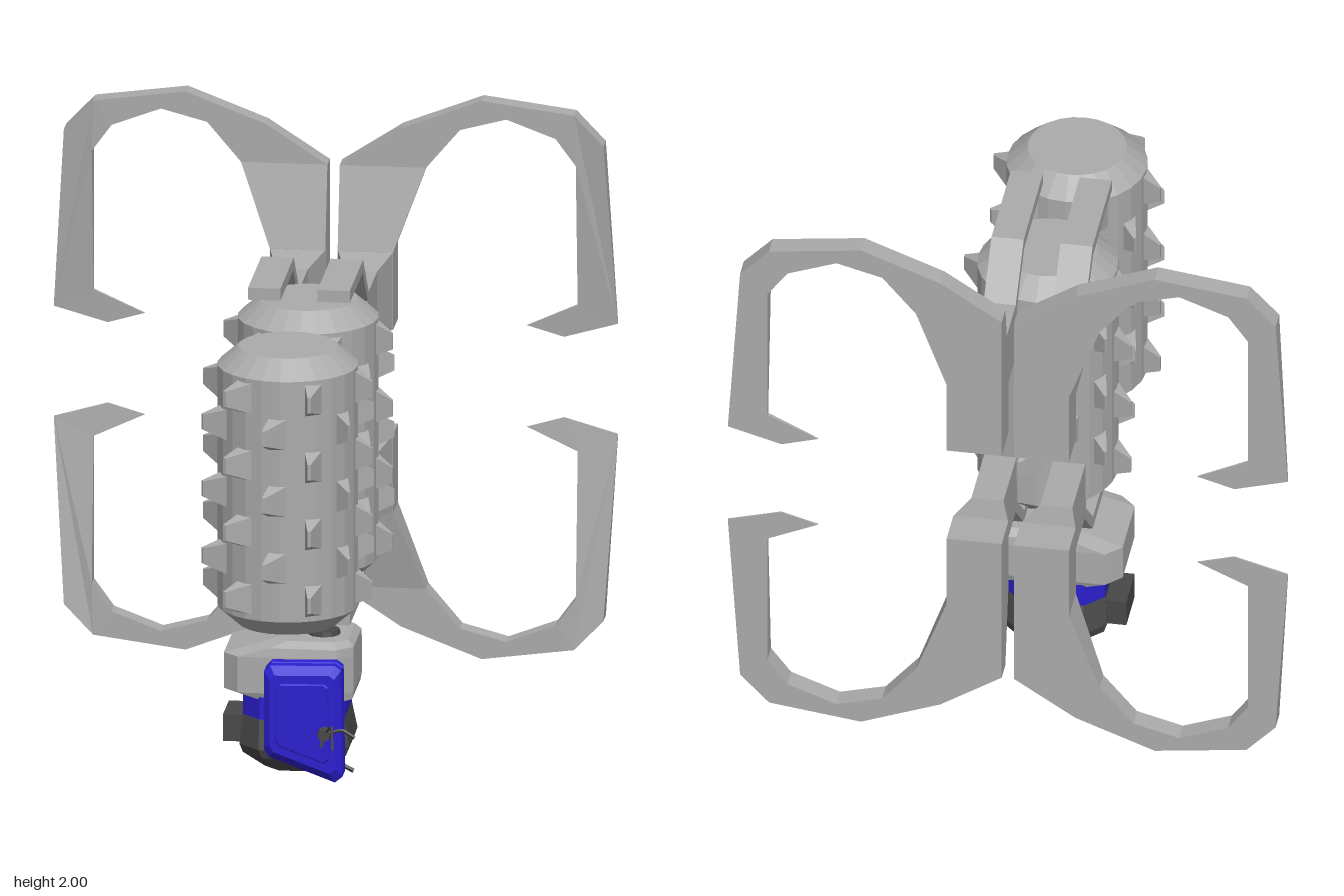
import * as THREE from 'three';
import { mergeGeometries } from 'three/addons/utils/BufferGeometryUtils.js';

const mat = (name, color) => Object.assign(new THREE.MeshStandardMaterial({ color, flatShading: true }), { name });

// make the faces of a closed, non-indexed solid point outwards
function orient(g) {
  const p = g.attributes.position, a = new THREE.Vector3(), b = a.clone(), c = a.clone();
  let vol = 0;
  for (let i = 0; i < p.count; i += 3) {
    a.fromBufferAttribute(p, i); b.fromBufferAttribute(p, i + 1); c.fromBufferAttribute(p, i + 2);
    vol += a.dot(b.cross(c));
  }
  if (vol < 0) {
    for (let i = 0; i < p.count; i += 3) {
      b.fromBufferAttribute(p, i + 1); c.fromBufferAttribute(p, i + 2);
      p.setXYZ(i + 1, c.x, c.y, c.z); p.setXYZ(i + 2, b.x, b.y, b.z);
    }
  }
  g.deleteAttribute('uv');
  g.computeVertexNormals();
  return g;
}

// solid through rings of equal point count, closed at both ends
function loft(rings) {
  const out = [], n = rings[0].length, last = rings.length - 1;
  const tri = (...pts) => pts.forEach(q => out.push(...q));
  for (let r = 0; r < last; r++) {
    for (let i = 0; i < n; i++) {
      const j = (i + 1) % n, A = rings[r], B = rings[r + 1];
      tri(A[i], A[j], B[j]); tri(A[i], B[j], B[i]);
    }
  }
  for (let i = 1; i < n - 1; i++) {
    tri(rings[0][0], rings[0][i + 1], rings[0][i]);
    tri(rings[last][0], rings[last][i], rings[last][i + 1]);
  }
  const g = new THREE.BufferGeometry();
  g.setAttribute('position', new THREE.Float32BufferAttribute(out, 3));
  return orient(g);
}

const extrude = (pts, depth) => new THREE.ExtrudeGeometry(
  new THREE.Shape(pts.map(q => new THREE.Vector2(...q))), { depth, bevelEnabled: false });

// chamfered rectangle in plan at height y
const octagon = (y, x0, x1, z0, z1, c) => [
  [x0 + c, y, z0], [x1 - c, y, z0], [x1, y, z0 + c], [x1, y, z1 - c],
  [x1 - c, y, z1], [x0 + c, y, z1], [x0, y, z1 - c], [x0, y, z0 + c]];
const rectY = (y, x0, x1, z0, z1) => [[x0, y, z0], [x1, y, z0], [x1, y, z1], [x0, y, z1]];
const rectZ = (z, x0, x1, y0, y1) => [[x0, y0, z], [x1, y0, z], [x1, y1, z], [x0, y1, z]];

// upper left gripper: claw, wedge, flared mount and bent fork
function gripperGeometry() {
  const claw = extrude([
    [0.02, 1.24], [0.2, 1.24], [0.2, 1.5], [0.3, 1.77], [0.41, 1.9], [0.56, 1.94], [0.72, 1.88], [0.785, 1.79],
    [0.785, 1.31], [0.62, 1.235], [0.74, 1.2], [0.915, 1.25], [0.875, 1.86], [0.78, 1.96],
    [0.48, 2.0], [0.22, 1.9], [0.02, 1.77]], 0.07);
  claw.translate(0, 0, -0.8);
  // the hooked end thins out towards its tip
  const p = claw.attributes.position;
  for (let i = 0; i < p.count; i++) {
    if (p.getX(i) > 0.6 && p.getZ(i) > -0.75 && p.getY(i) < 1.83) {
      const t = Math.max(0, (p.getY(i) - 1.23) / 0.6);
      p.setZ(i, -0.795 + 0.065 * t);
    }
  }
  const wedge = loft([rectY(1.24, 0.02, 0.2, -0.735, -0.67), rectY(1.5, 0.02, 0.2, -0.735, -0.67),
    rectY(1.77, 0.02, 0.3, -0.735, -0.729)]);
  const flare = loft([rectZ(-0.675, 0.02, 0.2, 1.24, 1.5), rectZ(-0.53, 0.06, 0.165, 1.265, 1.475)]);
  const fork = extrude([
    [-0.535, 1.265], [-0.28, 1.27], [-0.27, 1.45], [-0.13, 1.585], [0.23, 1.585], [0.23, 1.625],
    [-0.14, 1.625], [-0.295, 1.475], [-0.535, 1.475]], 0.105);
  const f = fork.attributes.position;
  for (let i = 0; i < f.count; i++) f.setXYZ(i, 0.06 + f.getZ(i), f.getY(i), f.getX(i));
  return mergeGeometries([claw, wedge, flare, fork].map(orient));
}

// one raking tooth, its tip leaning back along the rim
function toothGeometry() {
  return loft([
    [[-0.03, -0.062, 0.2], [0.05, -0.062, 0.2], [0.05, 0.062, 0.2], [-0.03, 0.062, 0.2]],
    [[-0.052, -0.026, 0.28], [-0.04, -0.026, 0.28], [-0.04, 0.026, 0.28], [-0.052, 0.026, 0.28]]]);
}

function makeDrum(metal) {
  const drum = new THREE.Group();
  const profile = [[0, 0.6], [0.16, 0.6], [0.228, 0.66], [0.228, 1.465], [0.16, 1.525], [0, 1.525]];
  const body = new THREE.Mesh(
    new THREE.LatheGeometry(profile.map(q => new THREE.Vector2(...q)), 24), metal);
  body.name = 'drumBody';
  drum.add(body);
  const tooth = toothGeometry();
  for (let col = 0; col < 12; col++) {
    const odd = col % 2;
    for (let row = 0; row < 3 + odd; row++) {
      const m = new THREE.Mesh(tooth, metal);
      m.name = 'drumTooth';
      m.rotation.y = THREE.MathUtils.degToRad(30 * col);
      m.position.y = (odd ? 1.4 : 1.288) - 0.224 * row;
      drum.add(m);
    }
  }
  return drum;
}

export function createModel() {
  const root = new THREE.Group();
  const grey = mat('grey metal', 0xababab);
  const dark = mat('dark rubber', 0x484848);
  const blue = mat('blue enamel', 0x2b1fd0);
  const add = (name, geo, material, parent = root) => {
    const m = new THREE.Mesh(geo, material);
    m.name = name;
    parent.add(m);
    return m;
  };

  // two toothed drums
  [['rearDrum', -0.03], ['frontDrum', 0.535]].forEach(([name, z]) => {
    const d = makeDrum(grey);
    d.name = name;
    d.position.z = z;
    root.add(d);
  });

  // four grippers, mirrored across x and about mid height
  const base = gripperGeometry();
  for (const sx of [1, -1]) {
    for (const sy of [1, -1]) {
      const g = base.clone().scale(sx, sy, 1);
      if (sy < 0) g.translate(0, 2.13, 0);
      add((sy > 0 ? 'upper' : 'lower') + (sx > 0 ? 'Left' : 'Right') + 'Gripper', orient(g), grey);
    }
  }

  // compact machine under the drums
  const unit = new THREE.Group();
  unit.name = 'baseUnit';
  root.add(unit);
  add('darkFoot', loft([
    octagon(0.0, -0.12, 0.11, -0.08, 0.19, 0.05), octagon(0.05, -0.19, 0.145, -0.14, 0.23, 0.07),
    octagon(0.08, -0.2, 0.155, -0.14, 0.24, 0.07), octagon(0.175, -0.19, 0.14, -0.1, 0.22, 0.06)]), dark, unit);
  add('sideNozzle', new THREE.BoxGeometry(0.09, 0.09, 0.16).translate(-0.215, 0.115, 0.03), dark, unit);
  add('blueBand', loft([
    octagon(0.17, -0.19, 0.14, -0.105, 0.215, 0.06), octagon(0.25, -0.19, 0.14, -0.105, 0.215, 0.06)]), blue, unit);
  add('greyHousing', loft([
    octagon(0.24, -0.17, 0.165, -0.1, 0.21, 0.04), octagon(0.265, -0.25, 0.17, -0.11, 0.22, 0.05),
    octagon(0.385, -0.25, 0.17, -0.11, 0.22, 0.05), octagon(0.415, -0.15, 0.17, -0.105, 0.215, 0.05),
    octagon(0.435, -0.08, 0.15, -0.08, 0.19, 0.04)]), grey, unit);
  add('topCap', new THREE.CylinderGeometry(0.05, 0.055, 0.02, 10).translate(0.065, 0.44, 0.085), dark, unit);

  // blue slanted panel with bevelled rim and raised centre
  const outline = [[-0.1, 0.375], [-0.08, 0.395], [0.13, 0.4], [0.15, 0.385],
    [0.155, 0.03], [0.13, 0.01], [-0.085, 0.09], [-0.1, 0.115]];
  const ring = (z, s) => outline.map(([x, y]) => [0.025 + (x - 0.025) * s, 0.22 + (y - 0.22) * s, z]);
  add('bluePanel', loft([ring(0.25, 0.86), ring(0.27, 1), ring(0.3, 1), ring(0.307, 0.96),
    ring(0.314, 1), ring(0.345, 1), ring(0.365, 0.84)]), blue, unit);
  add('panelPlate', loft([ring(0.362, 0.7), ring(0.37, 0.66)]), blue, unit);
  add('panelStrut', new THREE.BoxGeometry(0.1, 0.12, 0.1).translate(0.03, 0.2, 0.23), blue, unit);

  // antenna hub, bent aerial and small prongs
  add('aerialHub', new THREE.CylinderGeometry(0.02, 0.025, 0.035, 8)
    .rotateX(Math.PI / 2).translate(0.1, 0.18, 0.38), dark, unit);
  const rod = (name, pts, r) => {
    const path = new THREE.CurvePath();
    const v = pts.map(q => new THREE.Vector3(...q));
    for (let i = 0; i < v.length - 1; i++) path.add(new THREE.LineCurve3(v[i], v[i + 1]));
    add(name, new THREE.TubeGeometry(path, 8, r, 5), dark, unit);
  };
  rod('aerial', [[0.1, 0.18, 0.38], [0.13, 0.225, 0.435], [0.15, 0.18, 0.58]], 0.004);
  rod('aerialProng', [[0.09, 0.18, 0.385], [0.16, 0.2, 0.39], [0.2, 0.175, 0.39]], 0.006);
  rod('aerialProng', [[0.1, 0.18, 0.385], [0.09, 0.14, 0.39]], 0.006);
  rod('lowerHook', [[0.11, 0.06, 0.22], [0.15, 0.04, 0.25], [0.18, 0.025, 0.25]], 0.008);

  return root;
}
